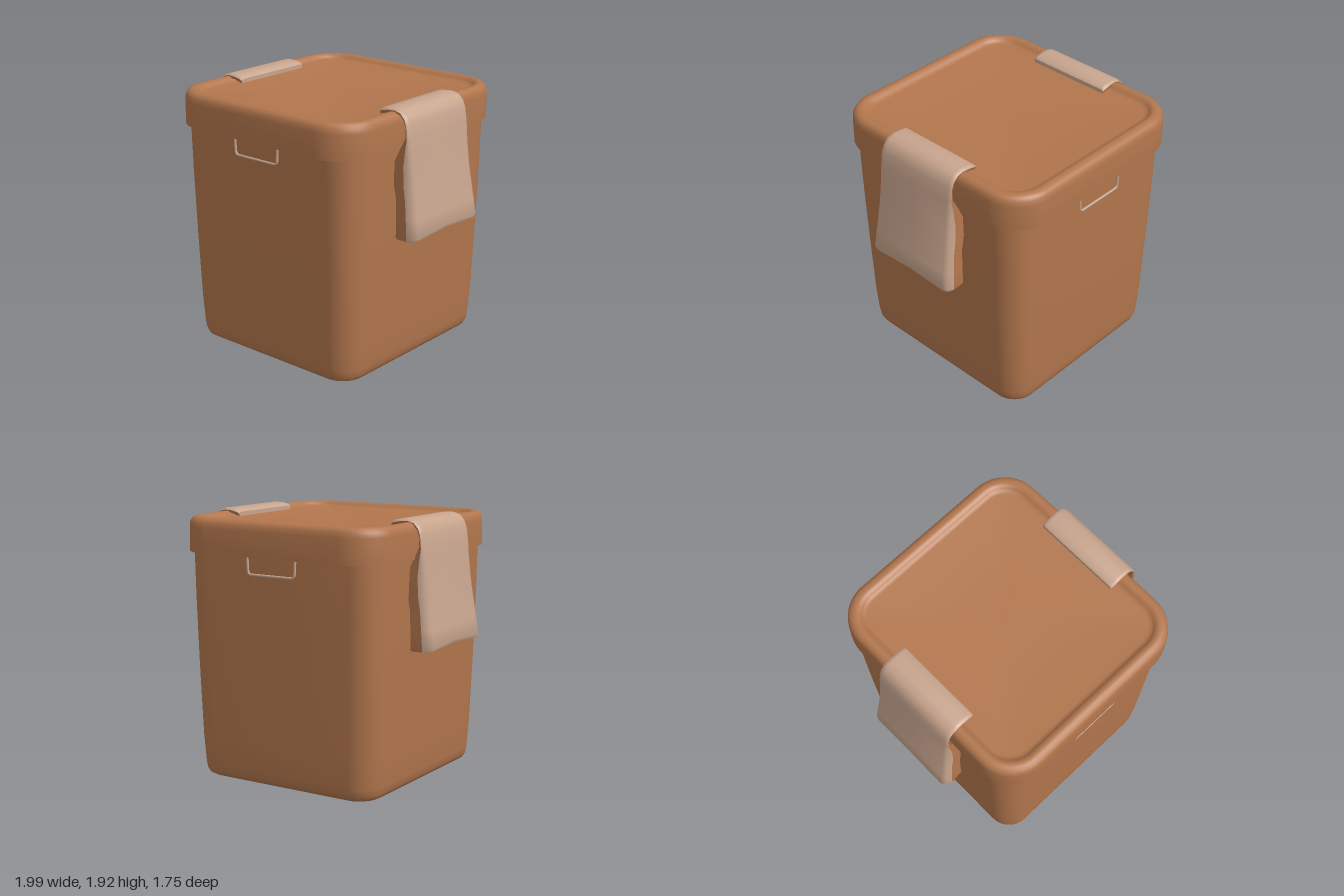
import * as THREE from 'three';
import { toCreasedNormals } from 'three/addons/utils/BufferGeometryUtils.js';

const brown = new THREE.MeshStandardMaterial({ color: 0xb2764d });
brown.name = 'brown plastic';
const taupe = new THREE.MeshStandardMaterial({ color: 0xc8a58e });
taupe.name = 'taupe plastic';

// Surface through rows of points, facing (column direction x row direction)
function grid(rows, crease = 0.7) {
  const n = rows[0].length, index = [];
  for (let r = 0; r < rows.length - 1; r++) {
    for (let c = 0; c < n - 1; c++) {
      const a = r * n + c;
      index.push(a, a + 1, a + n, a + 1, a + n + 1, a + n);
    }
  }
  const geo = new THREE.BufferGeometry();
  geo.setAttribute('position', new THREE.Float32BufferAttribute(rows.flat(2), 3));
  geo.setIndex(index);
  return toCreasedNormals(geo, crease);
}

// Rounded rectangle ring, counterclockwise from above
function ring([y, hx, hz, r], steps = 10) {
  const pts = [];
  for (let q = 0; q < 4; q++) {
    const sx = q === 0 || q === 3 ? 1 : -1, sz = q < 2 ? -1 : 1;
    for (let i = 0; i <= steps; i++) {
      const a = (q + i / steps) * Math.PI / 2;
      pts.push([sx * (hx - r) + r * Math.cos(a), y, sz * (hz - r) - r * Math.sin(a)]);
    }
  }
  pts.push(pts[0]);
  return pts;
}

const loft = (profile) => grid(profile.map((p) => ring(p)));

function add(parent, name, geo, mat) {
  const mesh = new THREE.Mesh(geo, mat);
  mesh.name = name;
  parent.add(mesh);
  return mesh;
}

// Clasp stations: outer x, outer y, inner x, inner y, half width
const STATIONS = [
  [0.65, 1.895, 0.65, 1.865, 0.33],
  [0.665, 1.91, 0.67, 1.87, 0.335],
  [0.72, 1.918, 0.72, 1.885, 0.335],
  [0.78, 1.92, 0.78, 1.89, 0.335],
  [0.83, 1.905, 0.82, 1.88, 0.335],
  [0.865, 1.87, 0.85, 1.85, 0.335],
  [0.885, 1.82, 0.87, 1.8, 0.337],
  [0.9, 1.72, 0.87, 1.73, 0.34],
  [0.91, 1.63, 0.83, 1.65, 0.343],
  [0.925, 1.52, 0.79, 1.56, 0.348],
  [0.94, 1.4, 0.79, 1.4, 0.353],
  [0.955, 1.3, 0.815, 1.3, 0.358],
  [0.975, 1.17, 0.825, 1.17, 0.367],
  [0.995, 1.045, 0.83, 1.035, 0.375],
  [0.985, 1.025, 0.84, 1.02, 0.373],
];

function makeClasp(name) {
  const clasp = new THREE.Group();
  clasp.name = name;
  const last = STATIONS.length - 1;
  const outer = [], inner = [];
  STATIONS.forEach(([ox, oy, ix, iy, w], i) => {
    const mx = ox + (ix - ox) * 0.42, my = oy + (iy - oy) * 0.42;
    const qx = ox + (ix - ox) * 0.1, qy = oy + (iy - oy) * 0.1;
    const lift = i >= last - 1 ? 0.02 : 0;
    const e = 0.012 + 0.012 * i / last;
    outer.push([
      [mx, my, -w], [qx, qy, -w + e * 0.5], [ox, oy, -w + e * 2],
      [ox, oy + lift, 0],
      [ox, oy, w - e * 2], [qx, qy, w - e * 0.5], [mx, my, w],
    ]);
    inner.push([[mx, my, w], [ix, iy, w - 0.006], [ix, iy + lift, 0], [ix, iy, -w + 0.006], [mx, my, -w]]);
  });
  add(clasp, 'claspCover', grid(outer, 1.1), taupe);
  add(clasp, 'claspCore', grid(inner), brown);

  // End caps close the strip between outer and inner edges
  const innerEdge = (i) => {
    const [m1, a, c, b, m0] = inner[i];
    return [m0, b, b, c, a, a, m1];
  };
  add(clasp, 'claspLip', grid([innerEdge(0), outer[0]]), taupe);
  add(clasp, 'claspBottom', grid([outer[last], innerEdge(last)]), brown);
  return clasp;
}

export function createModel() {
  const model = new THREE.Group();
  model.name = 'storageBin';
  const tub = new THREE.Group();
  tub.name = 'tub';
  tub.position.x = -0.01;
  model.add(tub);

  // Tapered body with a rounded base
  add(tub, 'body', loft([
    [0, 0, 0, 0],
    [0, 0.66, 0.7, 0.13],
    [0.005, 0.695, 0.73, 0.15],
    [0.02, 0.722, 0.755, 0.165],
    [0.05, 0.738, 0.768, 0.175],
    [0.1, 0.746, 0.774, 0.18],
    [0.3, 0.759, 0.782, 0.18],
    [0.8, 0.777, 0.794, 0.185],
    [1.3, 0.789, 0.806, 0.19],
    [1.7, 0.797, 0.814, 0.2],
  ]), brown);

  // Overhanging lid with a rolled rim and sunken top panel
  add(tub, 'lid', loft([
    [1.66, 0.77, 0.79, 0.2],
    [1.65, 0.82, 0.86, 0.27],
    [1.65, 0.83, 0.875, 0.28],
    [1.7, 0.83, 0.876, 0.28],
    [1.83, 0.829, 0.875, 0.28],
    [1.865, 0.824, 0.87, 0.275],
    [1.887, 0.81, 0.856, 0.265],
    [1.898, 0.788, 0.834, 0.245],
    [1.9, 0.77, 0.81, 0.225],
    [1.896, 0.75, 0.79, 0.205],
    [1.88, 0.735, 0.775, 0.19],
    [1.868, 0.722, 0.762, 0.18],
    [1.865, 0.7, 0.74, 0.165],
    [1.865, 0, 0, 0],
  ]), brown);

  // Wire loops under the lid, front and back
  const wire = new THREE.CurvePath();
  const v = (x, y) => new THREE.Vector3(x, y, 0.85);
  const corners = [[-0.2, 1.66], [-0.195, 1.56], [-0.165, 1.53], [0.165, 1.53], [0.195, 1.56], [0.2, 1.66]].map((p) => v(...p));
  wire.add(new THREE.LineCurve3(corners[0], corners[1]));
  wire.add(new THREE.QuadraticBezierCurve3(corners[1], v(-0.193, 1.53), corners[2]));
  wire.add(new THREE.LineCurve3(corners[2], corners[3]));
  wire.add(new THREE.QuadraticBezierCurve3(corners[3], v(0.193, 1.53), corners[4]));
  wire.add(new THREE.LineCurve3(corners[4], corners[5]));
  const wireGeo = new THREE.TubeGeometry(wire, 60, 0.009, 8);
  add(tub, 'frontWireLoop', wireGeo, taupe);
  add(tub, 'backWireLoop', wireGeo, taupe).rotation.y = Math.PI;

  // Clasps folded over both sides
  model.add(makeClasp('leftClasp'));
  const right = makeClasp('rightClasp');
  right.rotation.y = Math.PI;
  model.add(right);
  return model;
}
